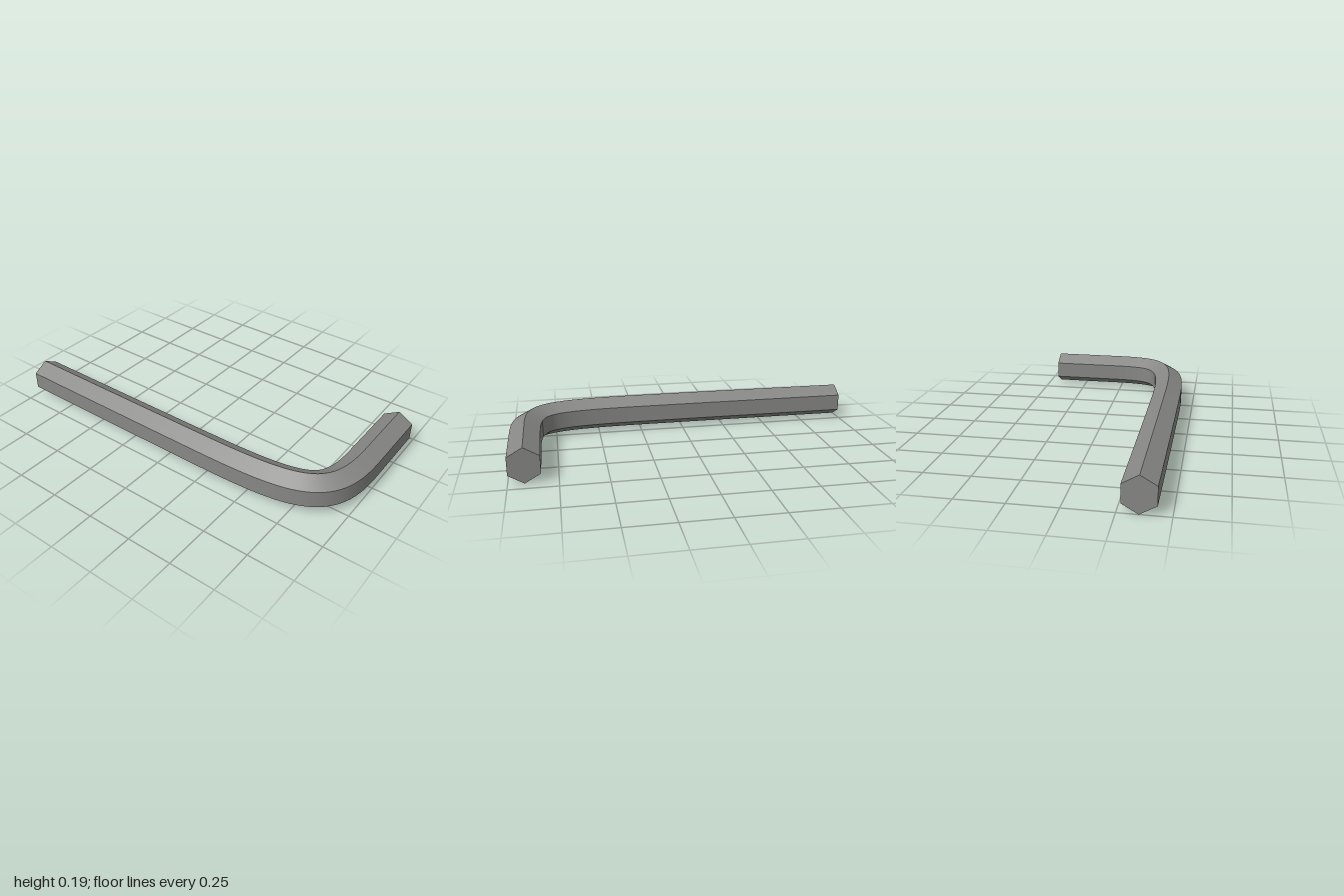
import * as THREE from 'three';

const RADIUS = 0.094; // corner radius of the hexagonal bar, which lies with one edge down
const STEPS = 120;
const SIDES = 6;

// Centre line: faintly bowed long arm, tight bend, straight short arm
function makeCentreLine() {
  const at = (x, z) => new THREE.Vector3(x, RADIUS, z);
  const path = new THREE.CurvePath();
  path.add(new THREE.CubicBezierCurve3(at(-0.352, -1), at(-0.354, -0.6), at(-0.356, -0.2), at(-0.356, 0.2)));
  path.add(new THREE.CubicBezierCurve3(at(-0.356, 0.2), at(-0.356, 0.825), at(-0.303, 0.917), at(0.05, 0.917)));
  path.add(new THREE.LineCurve3(at(0.05, 0.917), at(0.437, 0.917)));
  return path;
}

// Hexagon rings along the curve, edge pointing up
function makeRings(curve) {
  const up = new THREE.Vector3(0, 1, 0);
  const rings = [];
  for (let i = 0; i <= STEPS; i++) {
    const p = curve.getPoint(i / STEPS);
    const t = curve.getTangent(i / STEPS);
    if (i === 0) t.set(0, 0, 1); // square-cut end
    const side = new THREE.Vector3().crossVectors(t, up).normalize();
    const ring = [];
    for (let k = 0; k < SIDES; k++) {
      const a = Math.PI / 2 + (k * 2 * Math.PI) / SIDES;
      ring.push(p.clone()
        .addScaledVector(side, Math.cos(a) * RADIUS)
        .addScaledVector(up, Math.sin(a) * RADIUS));
    }
    rings.push(ring);
  }
  return rings;
}

// Each face is its own strip: smooth along the bar, sharp at the hexagon edges
function makeBar(rings) {
  const points = [];
  const index = [];
  for (let k = 0; k < SIDES; k++) {
    const base = points.length;
    rings.forEach((ring) => points.push(ring[k], ring[(k + 1) % SIDES]));
    for (let i = 0; i < STEPS; i++) {
      const a = base + i * 2;
      index.push(a, a + 2, a + 1, a + 1, a + 2, a + 3);
    }
  }
  // End caps
  for (const ring of [rings[0], [...rings[STEPS]].reverse()]) {
    const base = points.length;
    points.push(...ring);
    for (let k = 1; k < SIDES - 1; k++) index.push(base, base + k, base + k + 1);
  }
  const geometry = new THREE.BufferGeometry().setFromPoints(points);
  geometry.setIndex(index);
  geometry.computeVertexNormals();
  return geometry;
}

export function createModel() {
  const group = new THREE.Group();
  group.name = 'hexKey';
  const bar = new THREE.Mesh(
    makeBar(makeRings(makeCentreLine())),
    new THREE.MeshStandardMaterial({ color: 0x878785 }),
  );
  bar.name = 'bentHexBar';
  group.add(bar);
  return group;
}
